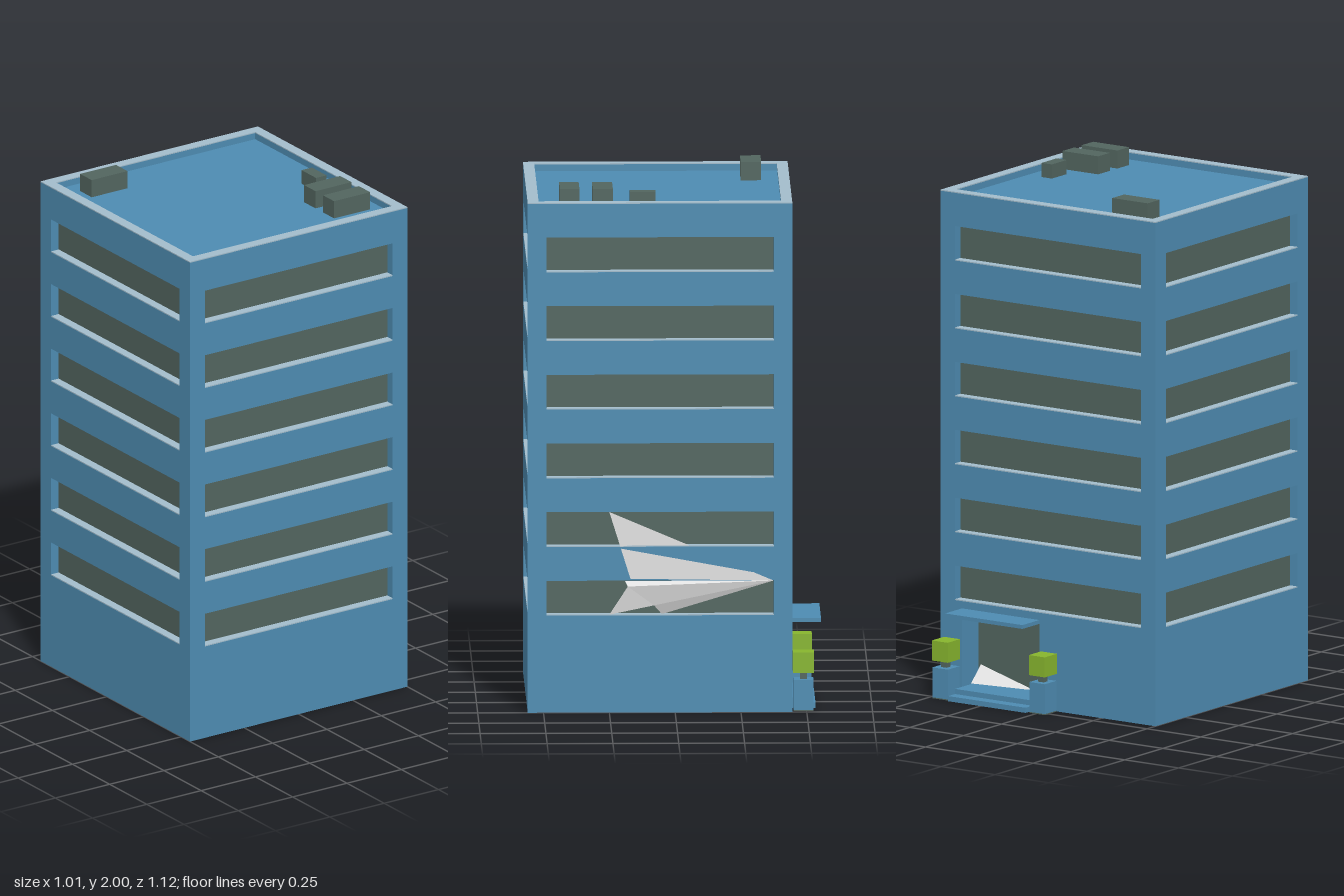
import * as THREE from 'three';

const mat = (name, color, side = THREE.FrontSide) => {
  const m = new THREE.MeshStandardMaterial({ color, side });
  m.name = name;
  return m;
};

export function createModel() {
  const blue = mat('wall blue', 0x4e8cb2);
  const glass = mat('dark glass', 0x52655f);
  const trim = mat('pale trim', 0xa3bdcc);
  const green = mat('leaf green', 0x87b52e);
  const paper = mat('paper white', 0xdcdcdc, THREE.DoubleSide);

  const model = new THREE.Group();
  const H = 1.96, W = 1, D = 1.005, T = 0.04, CZ = 0.0575;
  const BACK = CZ - D / 2;

  // Box given by its limits on each axis
  const box = (parent, name, m, x0, x1, y0, y1, z0, z1) => {
    const mesh = new THREE.Mesh(new THREE.BoxGeometry(x1 - x0, y1 - y0, z1 - z0), m);
    mesh.position.set((x0 + x1) / 2, (y0 + y1) / 2, (z0 + z1) / 2);
    mesh.name = name;
    parent.add(mesh);
    return mesh;
  };
  const rect = (C, x0, x1, y0, y1) => {
    const s = new C();
    s.moveTo(x0, y0);
    s.lineTo(x1, y0);
    s.lineTo(x1, y1);
    s.lineTo(x0, y1);
    s.closePath();
    return s;
  };
  const extrude = (shape, depth) =>
    new THREE.ExtrudeGeometry(shape, { depth, bevelEnabled: false });

  // Wall with six recessed window bands, outer face at local z = 0
  const wall = (name, width, door) => {
    const g = new THREE.Group();
    g.name = name;
    const shape = rect(THREE.Shape, -width / 2, width / 2, 0, H - 0.004);
    for (let i = 0; i < 6; i++) {
      const y0 = 0.373 + i * 0.264, y1 = y0 + 0.134;
      shape.holes.push(rect(THREE.Path, -0.432, 0.432, y0, y1));
      box(g, 'windowBand', glass, -0.432, 0.432, y0, y1, -T, -T + 0.005);
      box(g, 'windowSill', trim, -0.432, 0.432, y0, y0 + 0.004, -T + 0.005, -0.0005);
    }
    if (door) shape.holes.push(rect(THREE.Path, -0.4, -0.04, 0.04, 0.33));
    const panel = new THREE.Mesh(extrude(shape, T), blue);
    panel.position.z = -T;
    panel.name = 'wallPanel';
    g.add(panel);
    model.add(g);
    return g;
  };
  wall('frontWall', W, false).position.z = CZ + D / 2;
  const back = wall('backWall', W, true);
  back.position.z = BACK;
  back.rotation.y = Math.PI;
  for (const s of [1, -1]) {
    const side = wall(s > 0 ? 'leftWall' : 'rightWall', D - 2 * T, false);
    side.position.set(s * W / 2, 0, CZ);
    side.rotation.y = s * Math.PI / 2;
  }

  // Ground slab, roof and parapet cap
  const zi0 = BACK + T, zi1 = CZ + D / 2 - T;
  box(model, 'groundSlab', blue, -0.46, 0.46, 0, 0.01, zi0, zi1);
  box(model, 'roof', blue, -0.46, 0.46, 1.915, 1.93, zi0, zi1);
  const capShape = rect(THREE.Shape, -W / 2, W / 2, -D / 2, D / 2);
  capShape.holes.push(rect(THREE.Path, -0.458, 0.458, -D / 2 + 0.042, D / 2 - 0.042));
  const cap = new THREE.Mesh(extrude(capShape, 0.004), trim);
  cap.rotation.x = -Math.PI / 2;
  cap.position.set(0, H - 0.004, CZ);
  cap.name = 'parapetCap';
  model.add(cap);

  // Rooftop units: x0, x1, z0, z1, top
  for (const [x0, x1, z0, z1, top] of [
    [-0.39, -0.225, -0.34, -0.262, 2],
    [0.347, 0.395, 0.072, 0.17, 1.985],
    [0.247, 0.413, 0.235, 0.312, 2],
    [0.247, 0.413, 0.362, 0.437, 2],
  ]) box(model, 'roofUnit', glass, x0, x1, 1.93, top, z0, z1);

  // Recessed entrance with canopy and steps
  const entrance = new THREE.Group();
  entrance.name = 'entrance';
  model.add(entrance);
  const dz = BACK + 0.11;
  box(entrance, 'door', glass, 0.04, 0.4, 0.04, 0.33, dz, dz + 0.008);
  box(entrance, 'doorSide', blue, 0.4, 0.41, 0.03, 0.34, zi0, dz);
  box(entrance, 'doorSide', blue, 0.03, 0.04, 0.03, 0.34, zi0, dz);
  box(entrance, 'doorCeiling', blue, 0.04, 0.4, 0.33, 0.34, zi0, dz);
  box(entrance, 'doorFloor', blue, 0.04, 0.4, 0.03, 0.04, zi0, dz);
  box(entrance, 'canopy', blue, 0.04, 0.4, 0.33, 0.345, -0.556, BACK);
  box(entrance, 'lowerStep', blue, 0.04, 0.4, 0, 0.02, -0.535, BACK);
  box(entrance, 'upperStep', blue, 0.04, 0.4, 0.02, 0.04, -0.49, BACK);

  // Planters with square bushes
  for (const x of [-0.007, 0.444]) {
    const g = new THREE.Group();
    g.name = 'planter';
    g.position.set(x, 0, -0.488);
    box(g, 'planterBase', glass, -0.036, 0.036, 0, 0.004, -0.038, 0.038);
    box(g, 'planterBox', blue, -0.036, 0.036, 0.004, 0.12, -0.038, 0.038);
    box(g, 'trunk', glass, -0.013, 0.013, 0.12, 0.147, -0.013, 0.013);
    box(g, 'bush', green, -0.037, 0.037, 0.147, 0.225, -0.04, 0.04);
    model.add(g);
  }

  // Folded paper pieces from triangles
  const folded = (name, ...points) => {
    const geo = new THREE.BufferGeometry();
    geo.setAttribute('position', new THREE.Float32BufferAttribute(points.flat(), 3));
    geo.computeVertexNormals();
    const mesh = new THREE.Mesh(geo, paper);
    mesh.name = name;
    model.add(mesh);
  };
  const nose = [0.501, 0.506, -0.374];
  const root = [0.506, 0.515, 0.17], fold = [0.48, 0.503, 0.19];
  const lowRoot = [0.505, 0.485, 0.18], notch = [0.49, 0.41, 0.08];
  folded('paperPlaneUpperWing', nose, [0.4927, 0.77, 0.25], root);
  folded('paperPlaneFold', nose, fold, lowRoot);
  folded('paperPlaneLowerWing', nose, lowRoot, notch, lowRoot, [0.498, 0.376, 0.25], notch);
  folded('paperPlaneKeel', nose, notch, [0.475, 0.374, 0.05]);
  folded('doorwayPaper', [0.387, 0.11, -0.338], [0.375, 0.052, -0.42], [0.123, 0.046, -0.36]);

  return model;
}
